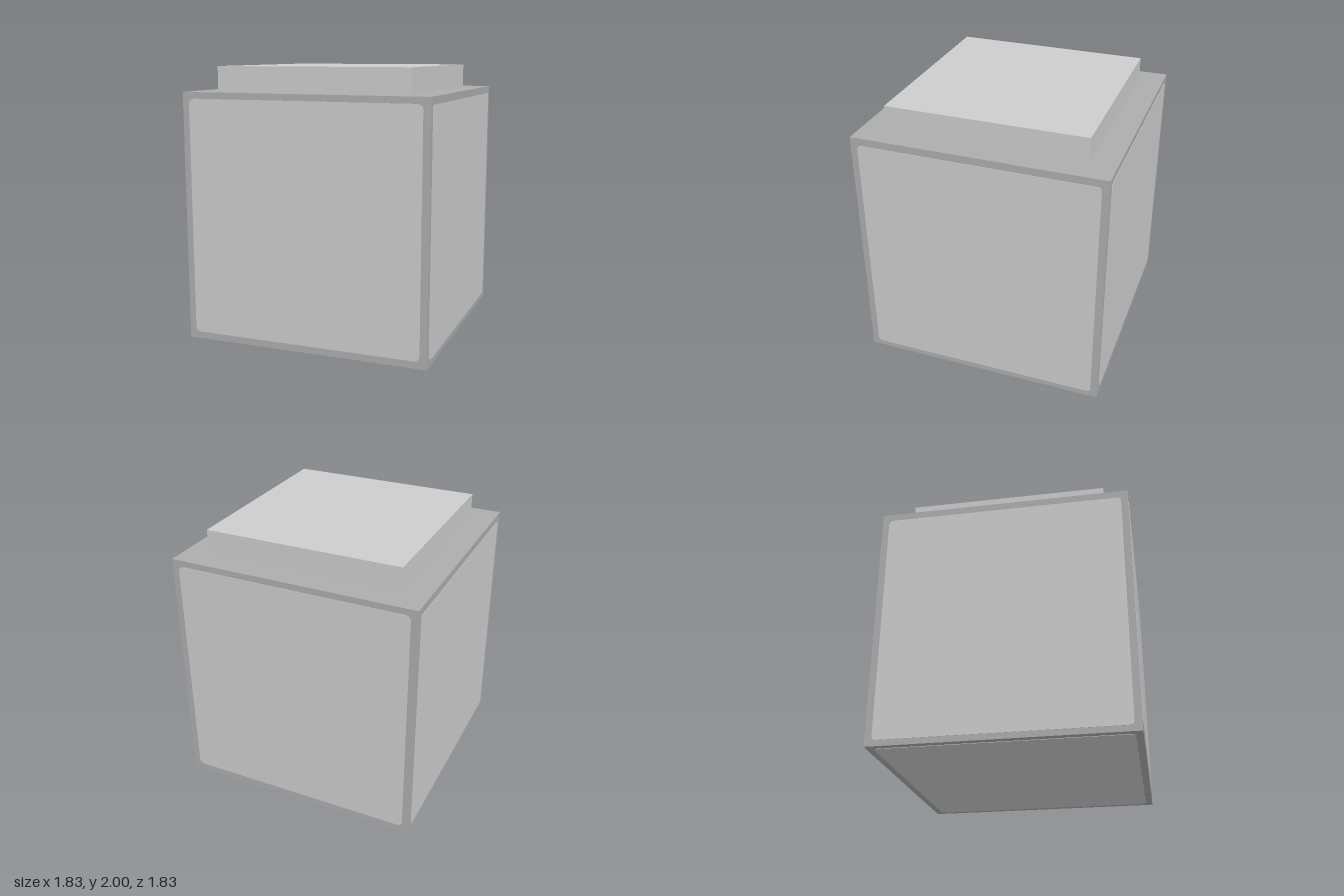
import * as THREE from 'three';

const SIZE = 1.82; // body width and height
const PROUD = 0.003; // how far the panels stand out

// Thin rounded square plate, its back resting on z = 0 and facing +z
function plateGeometry(size, radius) {
  const h = size / 2, c = h - radius;
  const shape = new THREE.Shape();
  shape.moveTo(-c, -h);
  shape.absarc(c, -c, radius, -Math.PI / 2, 0);
  shape.absarc(c, c, radius, 0, Math.PI / 2);
  shape.absarc(-c, c, radius, Math.PI / 2, Math.PI);
  shape.absarc(-c, -c, radius, Math.PI, Math.PI * 1.5);
  return new THREE.ExtrudeGeometry(shape, { depth: PROUD, bevelEnabled: false, curveSegments: 4 });
}

export function createModel() {
  const model = new THREE.Group();
  model.name = 'lidded box';
  const frameGrey = new THREE.MeshStandardMaterial({ name: 'frame grey', color: 0xadadad });
  const panelGrey = new THREE.MeshStandardMaterial({ name: 'panel grey', color: 0xcccccc });

  const add = (name, geometry, material, x, y, z) => {
    const mesh = new THREE.Mesh(geometry, material);
    mesh.name = name;
    mesh.position.set(x, y, z);
    model.add(mesh);
    return mesh;
  };

  // Cube body and the smaller slab on top
  const height = SIZE - PROUD;
  add('body', new THREE.BoxGeometry(SIZE, height, SIZE), frameGrey, 0, PROUD + height / 2, 0);
  add('lid', new THREE.BoxGeometry(1.455, 0.18, 1.455), panelGrey, 0, 1.91, 0);

  // Rounded panels on the four sides
  const wide = plateGeometry(1.72, 0.04), tight = plateGeometry(1.72, 0.028);
  ['front', 'left', 'back', 'right'].forEach((side, i) => {
    const a = (i * Math.PI) / 2;
    const panel = add(side + 'Panel', i % 2 ? tight : wide, panelGrey,
      Math.sin(a) * SIZE / 2, i % 2 ? 0.905 : 0.914, Math.cos(a) * SIZE / 2);
    panel.rotation.y = a;
  });

  // Panel underneath
  add('bottomPanel', wide, panelGrey, 0, PROUD, 0).rotation.x = Math.PI / 2;

  return model;
}
